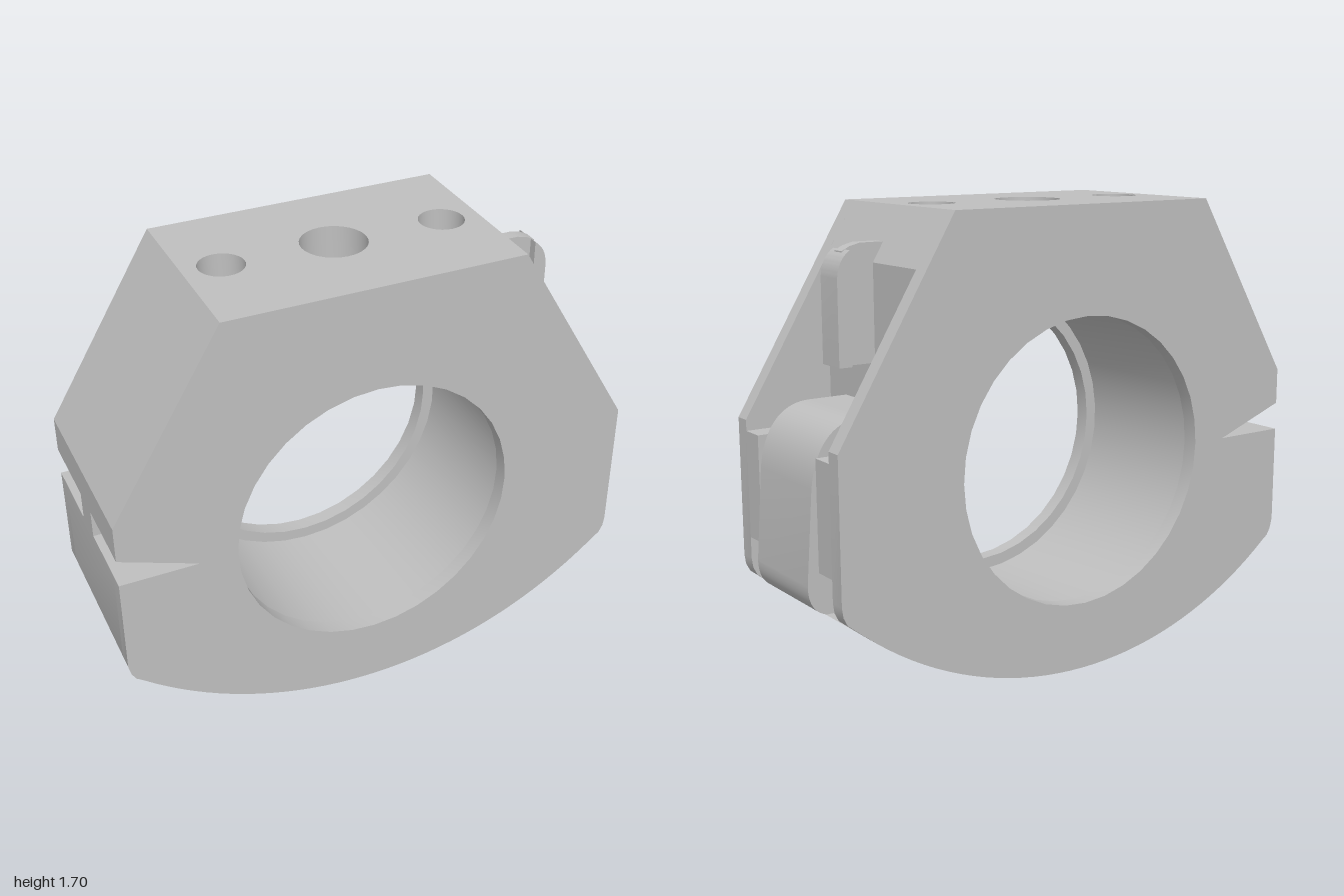
import * as THREE from 'three';
import { toCreasedNormals } from 'three/addons/utils/BufferGeometryUtils.js';

const BORE_X = -0.04, BORE_Y = 0.78;
const BASE_X = -0.03, BASE_R = 1.458;

export function createModel() {
  const model = new THREE.Group();
  const metal = new THREE.MeshStandardMaterial({ color: 0xbfbfbf });
  metal.name = 'grey metal';

  function add(name, geometry) {
    const mesh = new THREE.Mesh(toCreasedNormals(geometry, 0.5), metal);
    mesh.name = name;
    model.add(mesh);
    return mesh;
  }

  // Front-plane shape extruded between two depths
  function slab(name, shape, z0, z1) {
    const geometry = new THREE.ExtrudeGeometry(shape, { depth: z1 - z0, bevelEnabled: false, curveSegments: 18 });
    return add(name, geometry.translate(0, 0, z0));
  }

  const polygon = (points) => new THREE.Shape(points.map(([x, y]) => new THREE.Vector2(x, y)));

  function box(name, x0, x1, y0, y1, z0, z1) {
    const geometry = new THREE.BoxGeometry(x1 - x0, y1 - y0, z1 - z0);
    return add(name, geometry.translate((x0 + x1) / 2, (y0 + y1) / 2, (z0 + z1) / 2));
  }

  // Left flank with wedge notch, then the curved underside up to xEnd
  function leftAndBase(shape, xEnd) {
    const side = [[-1, 1.02], [-1, 0.885], [-0.71, 0.78], [-1, 0.78], [-1, 0.41], [-0.99, 0.37], [-0.975, 0.345]];
    side.forEach(([x, y]) => shape.lineTo(x, y));
    const a0 = Math.asin(0.92 / BASE_R), a1 = Math.asin((xEnd - BASE_X) / BASE_R);
    shape.absarc(BASE_X, BASE_R, BASE_R, -Math.PI / 2 - a0, -Math.PI / 2 + a1, false);
  }

  // Cheek plates: full outline with the narrow lip of the bore
  const cheek = new THREE.Shape();
  cheek.moveTo(-0.59, 1.7);
  leftAndBase(cheek, 0.89);
  [[0.95, 0.375], [0.965, 0.405], [0.97, 0.44], [0.97, 0.95], [0.515, 1.7]].forEach(([x, y]) => cheek.lineTo(x, y));
  const lip = new THREE.Path();
  lip.absarc(BORE_X, BORE_Y, 0.53, 0, Math.PI * 2, true);
  cheek.holes.push(lip);
  slab('frontCheek', cheek, 0.30, 0.36);
  slab('backCheek', cheek, -0.36, -0.30);

  // Core: wider bore, side recess, and room for the drilled top block
  const blockBase = 1.342;
  const t = Math.atan2(blockBase - BORE_Y, 0.12);
  const core = new THREE.Shape();
  core.moveTo(BORE_X - 0.12, blockBase);
  core.lineTo(-0.59, blockBase);
  core.lineTo(-0.59, 1.7);
  leftAndBase(core, 0.855);
  [[0.63, 0.30], [0.63, 1.51], [0.515, 1.7], [0.515, blockBase], [BORE_X + 0.12, blockBase]]
    .forEach(([x, y]) => core.lineTo(x, y));
  core.absarc(BORE_X, BORE_Y, 0.575, t, Math.PI - t, true);
  slab('core', core, -0.30, 0.30);

  // Top block with three vertical holes
  const block = polygon([[-0.59, -0.30], [0.515, -0.30], [0.515, 0.30], [-0.59, 0.30]]);
  [[-0.45, 0.083], [-0.04, 0.12], [0.375, 0.083]].forEach(([x, r]) => {
    const hole = new THREE.Path();
    hole.absarc(x, 0, r, 0, Math.PI * 2, true);
    block.holes.push(hole);
  });
  const blockGeometry = new THREE.ExtrudeGeometry(block, { depth: 1.7 - blockBase, bevelEnabled: false, curveSegments: 14 });
  add('drilledTopBlock', blockGeometry.rotateX(-Math.PI / 2).translate(0, blockBase, 0));

  // Thin web across the middle of the notch
  slab('notchWeb', polygon([[-1, 0.78], [-0.71, 0.78], [-1, 0.885]]), -0.06, 0.06);

  // Bracket walls either side of the latch
  for (const s of [-1, 1]) {
    const [z0, z1] = s > 0 ? [0.21, 0.30] : [-0.30, -0.21];
    box('latchBracket', 0.63, 0.97, 0.52, 0.91, z0, z1);
    const [p0, p1] = s > 0 ? [0.18, 0.21] : [-0.21, -0.18];
    box('latchSpacer', 0.63, 0.94, 0.52, 0.80, p0, p1);
  }

  // Rounded latch
  const latch = new THREE.Shape();
  latch.moveTo(0.63, 0.36);
  latch.lineTo(0.93, 0.36);
  latch.quadraticCurveTo(1.0, 0.38, 1.0, 0.47);
  latch.lineTo(0.975, 0.80);
  latch.bezierCurveTo(0.96, 0.94, 0.89, 1.02, 0.78, 1.02);
  latch.lineTo(0.63, 1.02);
  slab('latch', latch, -0.185, 0.185);

  // T-shaped catch above the latch: narrow web and wide head
  slab('catchWeb', polygon([[0.59, 1.58], [0.63, 1.165], [0.75, 1.165], [0.75, 1.555], [0.72, 1.57], [0.68, 1.58]]), -0.024, 0.024);
  const head = new THREE.Shape();
  head.moveTo(0.737, 1.165);
  head.lineTo(0.788, 1.165);
  head.lineTo(0.788, 1.46);
  head.quadraticCurveTo(0.785, 1.53, 0.737, 1.56);
  slab('catchHead', head, -0.057, 0.057);

  return model;
}
